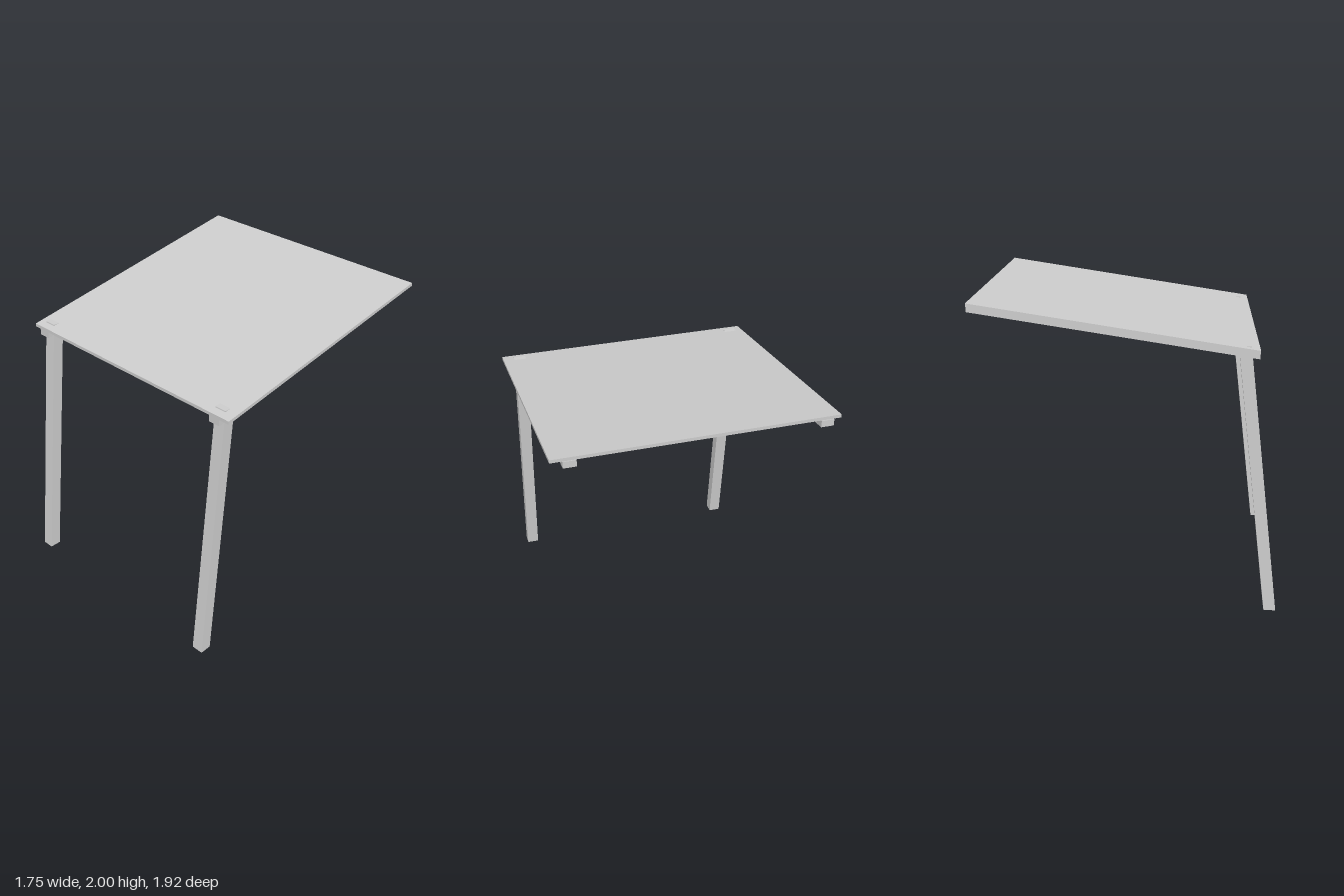
import * as THREE from 'three';

const material = new THREE.MeshStandardMaterial({ color: 0xcccccc, flatShading: true });

// Extrudes a side profile of [z, y] points across x, from x0 to x1.
function sidePrism(name, profile, x0, x1) {
  const shape = new THREE.Shape(profile.map(([z, y]) => new THREE.Vector2(-z, y)));
  const geometry = new THREE.ExtrudeGeometry(shape, { depth: x1 - x0, bevelEnabled: false });
  geometry.rotateY(Math.PI / 2);
  geometry.translate(x0, 0, 0);
  const mesh = new THREE.Mesh(geometry, material);
  mesh.name = name;
  return mesh;
}

// Sloping beam with upright ends: its top runs from yFront to yBack.
const slopedProfile = (zFront, zBack, yFront, yBack, thickness) => [
  [zFront, yFront - thickness],
  [zBack, yBack - thickness],
  [zBack, yBack],
  [zFront, yFront],
];

export function createModel() {
  const model = new THREE.Group();
  model.name = 'slopedCanopy';

  // Thin roof sheet rising towards the back
  model.add(sidePrism('roofPanel', slopedProfile(0.8, -0.953, 1.736, 2, 0.021), -0.873, 0.873));

  // Leaning post with level ends; its head just pierces the sheet
  const postProfile = [[0.961, 0], [0.885, 0], [0.672, 1.75], [0.748, 1.75]];

  for (const [side, x] of [['right', -0.785], ['left', 0.76]]) {
    const x0 = x - 0.04, x1 = x + 0.04;
    // Rail under the sheet, slightly longer at the back
    model.add(sidePrism(side + 'Rail', slopedProfile(0.8, -0.961, 1.715, 1.98, 0.043), x0, x1));
    model.add(sidePrism(side + 'Post', postProfile, x0, x1));
  }
  return model;
}
